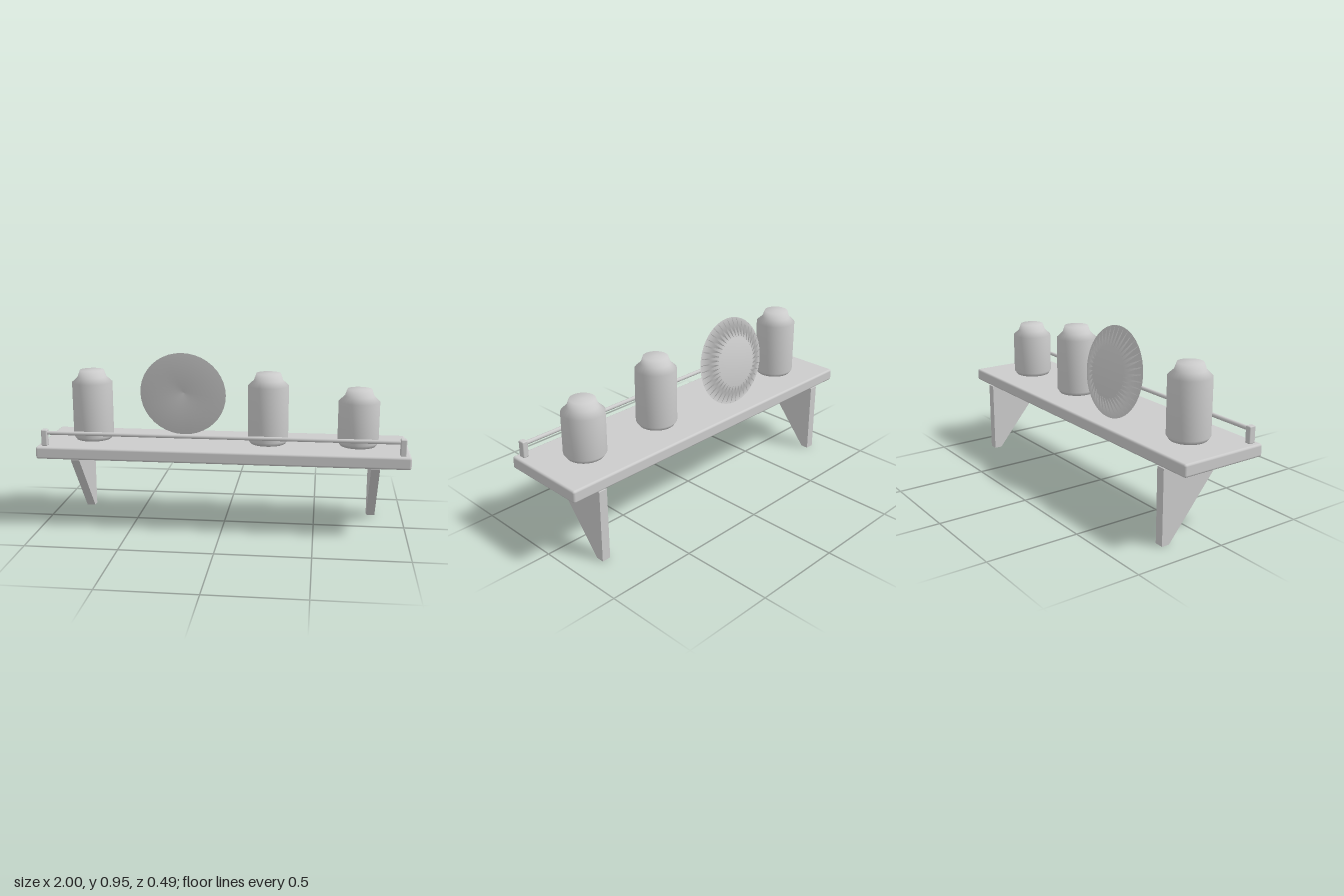
import * as THREE from 'three';
import { RoundedBoxGeometry } from 'three/addons/geometries/RoundedBoxGeometry.js';

const SHELF_TOP = 0.468;
const SHELF_BOTTOM = 0.401;
const DEPTH = 0.486;

const lathe = (points, segments) =>
  new THREE.LatheGeometry(points.map(([r, y]) => new THREE.Vector2(r, y)), segments);

export function createModel() {
  const model = new THREE.Group();
  const material = new THREE.MeshStandardMaterial({ color: 0xcccccc });

  const add = (name, geometry, x, y, z) => {
    const mesh = new THREE.Mesh(geometry, material);
    mesh.name = name;
    mesh.position.set(x, y, z);
    model.add(mesh);
    return mesh;
  };

  // Board with softened edges
  const thickness = SHELF_TOP - SHELF_BOTTOM;
  add('shelfBoard', new RoundedBoxGeometry(2, thickness, DEPTH, 3, 0.012),
    0, SHELF_BOTTOM + thickness / 2, 0);

  // Wall bracket side profile: shape x runs towards the front (+z)
  const profile = new THREE.Shape([
    [-0.243, 0], [-0.2, 0], [0.1, 0.357], [0.1, SHELF_BOTTOM], [-0.243, SHELF_BOTTOM],
  ].map(([z, y]) => new THREE.Vector2(z, y)));
  const bracket = new THREE.ExtrudeGeometry(profile, { depth: 0.048, bevelEnabled: false });
  bracket.translate(0, 0, -0.024);
  bracket.rotateY(-Math.PI / 2);

  // Brackets and rail posts, mirrored
  const post = new RoundedBoxGeometry(0.032, 0.09, 0.038, 2, 0.006);
  for (const [side, s] of [['left', 1], ['right', -1]]) {
    add(side + 'Bracket', bracket, s * 0.825, 0, 0);
    add(side + 'RailPost', post, s * 0.957, SHELF_TOP + 0.044, 0.199);
  }

  // Guard rail between the posts
  const rail = new THREE.CylinderGeometry(0.011, 0.011, 1.914, 12);
  rail.rotateZ(Math.PI / 2);
  add('guardRail', rail, 0, 0.538, 0.199);

  // Jars: two tall, one short
  const jar = (h) => lathe([
    [0, 0], [0.097, 0], [0.111, 0.021], [0.111, h - 0.067],
    [0.079, h - 0.037], [0.066, h], [0, h],
  ], 32);
  [[-0.737, 0.385], [0.24, 0.385], [0.73, 0.309]].forEach(([x, h], i) =>
    add('jar' + (i + 1), jar(h), x, SHELF_TOP, 0));

  // Display plate, shallow dish tilted forward
  const plate = add('plate', lathe([
    [0, -0.039], [0.134, -0.039], [0.242, 0], [0, -0.028],
  ], 40), -0.245, 0.707, -0.0925);
  plate.rotation.x = Math.PI / 2 + 0.156;

  return model;
}
